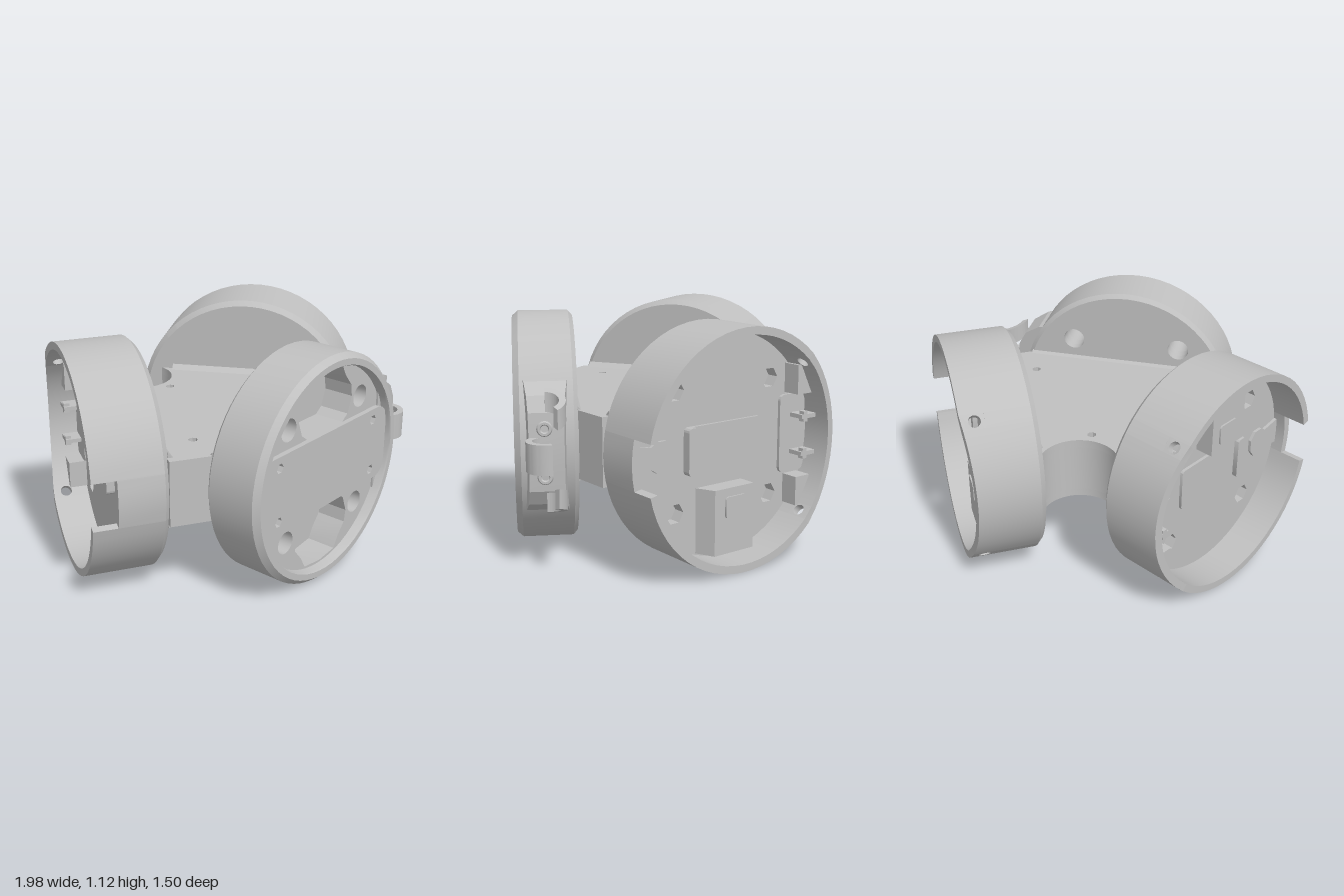
import * as THREE from 'three';
import { toCreasedNormals } from 'three/addons/utils/BufferGeometryUtils.js';

const grey = new THREE.MeshStandardMaterial({ color: 0xc0c0c0, side: THREE.DoubleSide });
grey.name = 'grey plastic';
const R = 0.56, WALL = 0.037, DEPTH = 0.355, LIP = 0.24, FLOOR = 0.175;

function add(parent, name, geo, smooth = 0.5) {
  const mesh = new THREE.Mesh(smooth ? toCreasedNormals(geo, smooth) : geo, grey);
  mesh.name = name;
  parent.add(mesh);
  return mesh;
}
const poly = (pts) => new THREE.Shape(pts.map(([x, y]) => new THREE.Vector2(x, y)));
const ngon = (x, y, r, n = 24) => poly(Array.from({ length: n }, (_, i) => {
  const a = (i / n) * Math.PI * 2;
  return [x + r * Math.cos(a), y + r * Math.sin(a)];
}));
function roundRect(x0, y0, x1, y1, r) {
  const s = new THREE.Shape();
  s.absarc(x1 - r, y1 - r, r, 0, Math.PI / 2);
  s.absarc(x0 + r, y1 - r, r, Math.PI / 2, Math.PI);
  s.absarc(x0 + r, y0 + r, r, Math.PI, Math.PI * 1.5);
  s.absarc(x1 - r, y0 + r, r, Math.PI * 1.5, Math.PI * 2);
  return s;
}
// Plate standing in the xy plane between two z levels
function plate(shape, z0, z1, holes = []) {
  shape.holes = holes;
  return new THREE.ExtrudeGeometry(shape, { depth: z1 - z0, bevelEnabled: false, curveSegments: 16 }).translate(0, 0, z0);
}
// Horizontal slab; the shape is drawn in x and -z
const slab = (shape, y0, y1, holes) => plate(shape, y0, y1, holes).rotateX(-Math.PI / 2);

// Ring section around the z axis between two angles
function arc(profile, a0, a1) {
  const pts = [...profile, profile[0]].map(([r, z]) => new THREE.Vector2(r, z));
  const n = Math.max(2, Math.round((a1 - a0) * 10));
  return new THREE.LatheGeometry(pts, n, a0 + Math.PI / 2, a1 - a0).rotateX(Math.PI / 2);
}
function cap(profile, a) {
  const basis = new THREE.Matrix4().makeBasis(
    new THREE.Vector3(Math.cos(a), Math.sin(a), 0), new THREE.Vector3(0, 0, 1),
    new THREE.Vector3(Math.sin(a), -Math.cos(a), 0));
  return new THREE.ShapeGeometry(poly(profile)).applyMatrix4(basis);
}
// Rim dips a little at the end away from the notch
function dip(geo) {
  const p = geo.attributes.position;
  for (let i = 0; i < p.count; i++) {
    if (p.getZ(i) > 0.32) p.setZ(i, p.getZ(i) - 0.18 * Math.max(0, p.getX(i) - 0.38));
  }
  return geo;
}
const corners = [[-0.28, -0.28], [0.28, -0.28], [0.28, 0.28], [-0.28, 0.28]];

// Open side cup: axis z, notch at -x
function sideCup(name) {
  const g = new THREE.Group();
  g.name = name;
  const wall = (top) => [[R - WALL, 0], [R - 0.025, 0], [R, 0.025], [R, top], [R - WALL, top]];
  const hole = 0.75, hw = 0.065, notch = 0.207, full = wall(DEPTH);
  for (const [a, b] of [[-hole + hw, hole - hw], [hole + hw, Math.PI - notch], [Math.PI + notch, Math.PI * 2 - hole - hw]]) {
    add(g, 'cupWall', dip(arc(full, a, b)));
  }
  add(g, 'notchLip', arc(wall(LIP), Math.PI - notch, Math.PI + notch));
  for (const s of [-1, 1]) {
    add(g, 'notchEnd', cap(full, Math.PI + s * notch), 0);
    add(g, 'wallBelowHole', arc(wall(LIP), s * hole - hw, s * hole + hw));
    // Pierced wall piece, bent round the cup
    const geo = plate(poly([[-hw, LIP], [hw, LIP], [hw, DEPTH], [-hw, DEPTH]].map(([u, v]) => [u * R, v])), 0, WALL, [ngon(0, 0.288, 0.029, 16)]);
    const p = geo.attributes.position;
    for (let i = 0; i < p.count; i++) {
      const a = s * hole + p.getX(i) / R, r = R - WALL + p.getZ(i);
      p.setXYZ(i, r * Math.cos(a), r * Math.sin(a), p.getY(i));
    }
    add(g, 'piercedWall', dip(geo));
  }
  // Floor with hexagonal nut seats
  add(g, 'cupFloor', plate(ngon(0, 0, R - 0.03, 64), 0, FLOOR - 0.06));
  add(g, 'nutSeatFloor', plate(ngon(0, 0, R - 0.03, 64), FLOOR - 0.06, FLOOR, corners.map(([x, y]) => ngon(x, y, 0.05, 6))));
  // Fittings on the floor
  add(g, 'centrePad', plate(roundRect(-0.22, -0.11, 0.22, 0.11, 0.02), FLOOR, FLOOR + 0.015));
  add(g, 'padBar', plate(roundRect(-0.23, -0.11, -0.17, 0.11, 0.02), FLOOR, FLOOR + 0.04));
  add(g, 'connectorBox', plate(poly([[-0.16, FLOOR], [0.11, FLOOR], [0.11, FLOOR + 0.09], [-0.12, FLOOR + 0.09]]), 0.18, 0.49)
    .rotateX(Math.PI / 2));
  add(g, 'connectorWindow', plate(roundRect(-0.06, -0.32, 0.06, -0.22, 0.015), FLOOR + 0.09, FLOOR + 0.098));
  add(g, 'notchTongue', plate(poly([[-0.53, -0.07], [-0.42, -0.05], [-0.39, -0.07], [-0.34, -0.07], [-0.31, -0.03],
    [-0.31, 0.03], [-0.34, 0.07], [-0.39, 0.07], [-0.42, 0.05], [-0.53, 0.07]]), FLOOR, FLOOR + 0.015));
  add(g, 'endPlate', plate(roundRect(0.34, -0.19, 0.5, 0.19, 0.03), FLOOR, FLOOR + 0.015));
  for (const s of [-1, 1]) {
    add(g, 'endBlock', plate(poly([[0.38, s * 0.2], [0.47, s * 0.2], [0.4, s * 0.34], [0.38, s * 0.34]]), FLOOR, FLOOR + 0.09));
    add(g, 'retainingClip', new THREE.BoxGeometry(0.09, 0.02, 0.09).translate(0.45, s * 0.09, FLOOR + 0.05), 0);
    add(g, 'clipTooth', new THREE.BoxGeometry(0.025, 0.05, 0.03).translate(0.43, s * 0.09, FLOOR + 0.08), 0);
  }
  return g;
}

// Front cup: shallow face with pockets and a raised centre plate
function frontCup() {
  const g = new THREE.Group();
  g.name = 'frontCup';
  add(g, 'frontWall', arc([[0.5, 0], [0.54, 0], [R, 0.02], [R, 0.262], [0.535, 0.29], [0.505, 0.29], [0.5, 0.28]], 0, Math.PI * 2));
  const bolts = () => corners.map(([x, y]) => ngon(x, y, 0.055));
  const pocket = (s) => poly([[-0.14, 0.19], [0.14, 0.19], [0.18, 0.22], [0.21, 0.3], [0.2, 0.36], [0.15, 0.42], [0.12, 0.475],
    [0, 0.49], [-0.12, 0.475], [-0.15, 0.42], [-0.2, 0.36], [-0.21, 0.3], [-0.18, 0.22]].map(([x, y]) => [x, s * y]));
  add(g, 'backDisc', plate(ngon(0, 0, 0.505, 64), 0, 0.04, bolts()));
  add(g, 'pocketFloor', plate(ngon(0, 0, 0.505, 64), 0.04, 0.09, [...bolts(), ngon(0, 0.38, 0.048)]));
  add(g, 'faceDisc', plate(ngon(0, 0, 0.505, 64), 0.09, 0.24, [...bolts(), pocket(1), pocket(-1)]));
  add(g, 'centrePlate', plate(roundRect(-0.49, -0.185, 0.49, 0.19, 0.08), 0.24, 0.265,
    [[-0.37, -0.13], [0.37, -0.13], [0.37, 0.135], [-0.37, 0.135]].map(([x, y]) => ngon(x, y, 0.025, 6))));
  return g;
}

// Three-pronged cable clip on the flank of the front cup
function cableClip() {
  const g = new THREE.Group();
  g.name = 'cableClip';
  const base = plate(poly([[0.43, 0.87], [0.49, 0.86], [0.57, 0.81], [0.61, 0.74], [0.62, 0.62], [0.62, 0.5], [0.61, 0.38],
    [0.57, 0.31], [0.49, 0.26], [0.43, 0.25]]), 0.5, 0.71);
  const p = base.attributes.position;
  for (let i = 0; i < p.count; i++) {
    p.setZ(i, 0.61 + (p.getZ(i) - 0.61) * (1 - 1.3 * (p.getX(i) - 0.43)));
  }
  add(g, 'clipBase', base, 0.3);
  const hook = (a0, a1, y0, y1) => {
    const s = new THREE.Shape();
    s.absarc(0.675, -0.61, 0.09, a0, a1, false);
    s.absarc(0.675, -0.61, 0.06, a1, a0, true);
    return slab(s, y0, y1);
  };
  add(g, 'centreHook', hook(Math.PI, Math.PI * 2 + 0.3, 0.495, 0.63));
  for (const s of [-1, 1]) {
    // Outer hooks lean towards the middle as they reach outwards
    const geo = hook(0.6, Math.PI, 0.72, 0.81);
    const q = geo.attributes.position;
    for (let i = 0; i < q.count; i++) {
      q.setY(i, 0.56 + s * (q.getY(i) - 0.56 - 0.4 * (q.getX(i) - 0.675)));
    }
    add(g, 'outerHook', geo, 0.5);
    add(g, 'clipScrew', new THREE.TorusGeometry(0.026, 0.01, 6, 16).rotateY(Math.PI / 2).translate(0.62, 0.56 + s * 0.11, 0.615));
  }
  return g;
}

// Triangular hub with a round bite at the back
function hub() {
  const g = new THREE.Group();
  g.name = 'hub';
  const outline = () => {
    const s = new THREE.Shape();
    s.moveTo(0.185, 0.51);
    s.lineTo(0.69, -0.365);
    s.lineTo(0.525, -0.462);
    s.lineTo(-0.525, -0.462);
    s.lineTo(-0.69, -0.365);
    s.lineTo(-0.185, 0.51);
    s.absarc(0, 0.51, 0.185, Math.PI, Math.PI * 2, false);
    return s;
  };
  const screws = () => [[0, 0.27], [0.44, -0.28], [-0.44, -0.28]].map(([x, y]) => ngon(x, y, 0.022, 8));
  add(g, 'hubCore', slab(outline(), 0.45, 0.69));
  add(g, 'hubTop', slab(outline(), 0.69, 0.73, screws()));
  add(g, 'hubUnderside', slab(outline(), 0.41, 0.45, screws()));
  // Sloped fillets where the hub meets each cup
  const fillet = (len, size, x, z, turn) => {
    for (const s of [-1, 1]) {
      const f = add(g, 'fillet', plate(poly([[0, 0], [size, 0], [0, s * size]]), -len / 2, len / 2), 0.3);
      f.position.set(x, s > 0 ? 0.73 : 0.41, z);
      f.rotation.y = turn;
    }
  };
  fillet(1.03, 0.015, 0, 0.462, Math.PI / 2);
  fillet(0.9, 0.025, 0.44, -0.057, Math.PI + Math.PI / 6);
  fillet(0.9, 0.025, -0.44, -0.057, -Math.PI / 6);
  return g;
}

export function createModel() {
  const model = new THREE.Group();
  model.name = 'threeCupBracket';
  model.add(hub(), cableClip());
  const front = frontCup();
  front.position.set(0, 0.56, 0.46);
  model.add(front);
  for (const s of [1, -1]) {
    const holder = new THREE.Group();
    holder.name = s > 0 ? 'leftCup' : 'rightCup';
    holder.position.set(s * 0.411, 0.56, -0.108);
    holder.rotation.y = s * Math.PI * 2 / 3;
    const cup = sideCup('openCup');
    cup.rotation.z = s > 0 ? 0 : Math.PI;
    holder.add(cup);
    model.add(holder);
  }
  return model;
}
